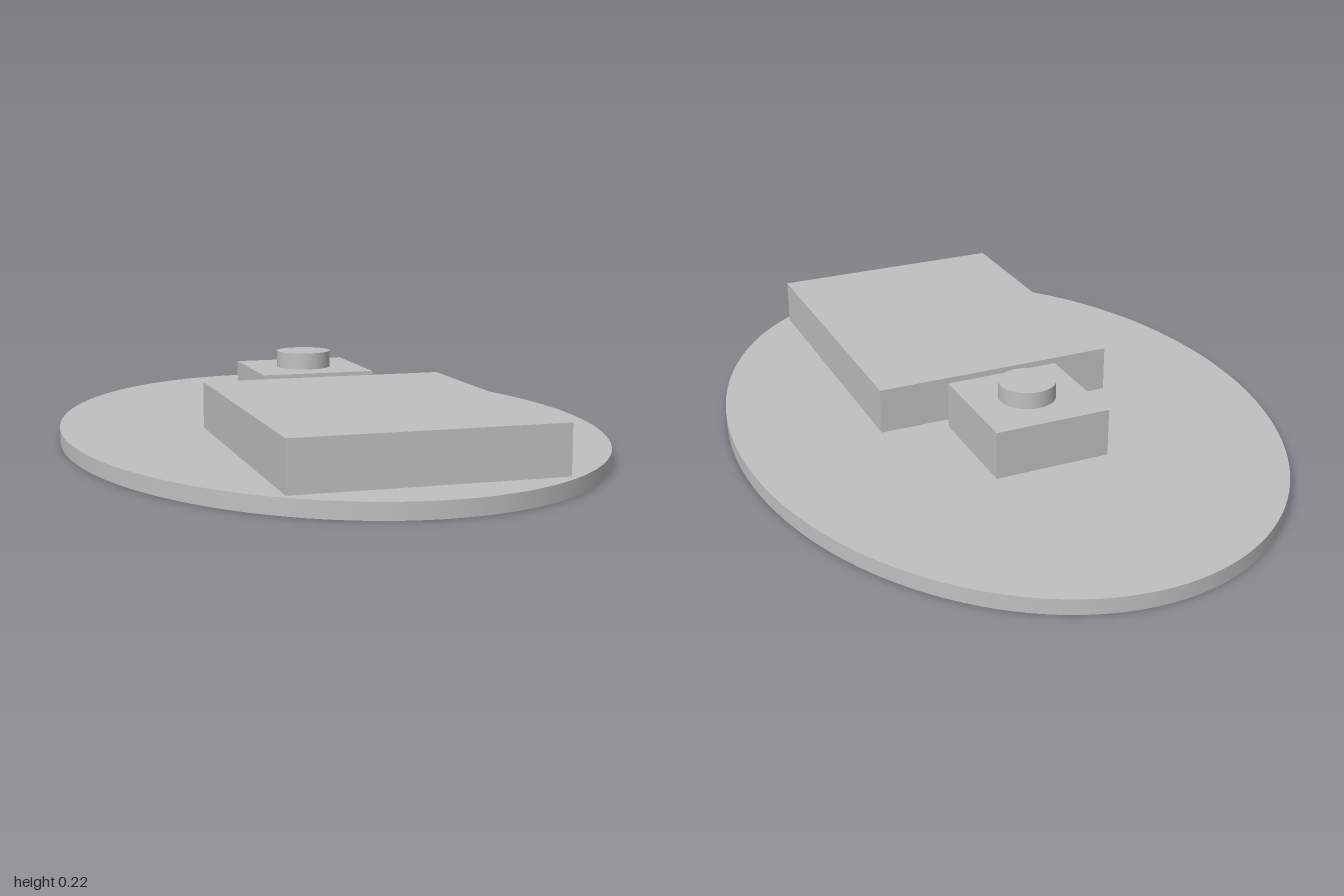
import * as THREE from 'three';

export function createModel() {
  const model = new THREE.Group();
  model.name = 'ovalPanel';
  const grey = new THREE.MeshStandardMaterial({ color: 0xc0c0c0 });
  grey.name = 'light grey';

  const add = (name, geometry, x, y, z) => {
    const mesh = new THREE.Mesh(geometry, grey);
    mesh.name = name;
    mesh.position.set(x, y, z);
    model.add(mesh);
    return mesh;
  };

  // Oval base plate, with smooth normals around the rim
  const baseTop = 0.042;
  const plate = new THREE.CylinderGeometry(1, 1, baseTop, 128);
  plate.scale(0.735, 1, 1);
  add('basePlate', plate, 0, baseTop / 2, 0);

  // Blocks standing on the plate: name, width, top, back z, front z
  const blocks = [
    ['largeBlock', 0.69, 0.17, -0.015, 0.86],
    ['smallBlock', 0.325, 0.175, -0.38, -0.057],
  ];
  for (const [name, width, top, back, front] of blocks) {
    const height = top - baseTop;
    add(name, new THREE.BoxGeometry(width, height, front - back),
      0, baseTop + height / 2, (back + front) / 2);
  }

  // Round button on the small block
  add('button', new THREE.CylinderGeometry(0.078, 0.078, 0.047, 64), 0, 0.1985, -0.217);

  return model;
}
